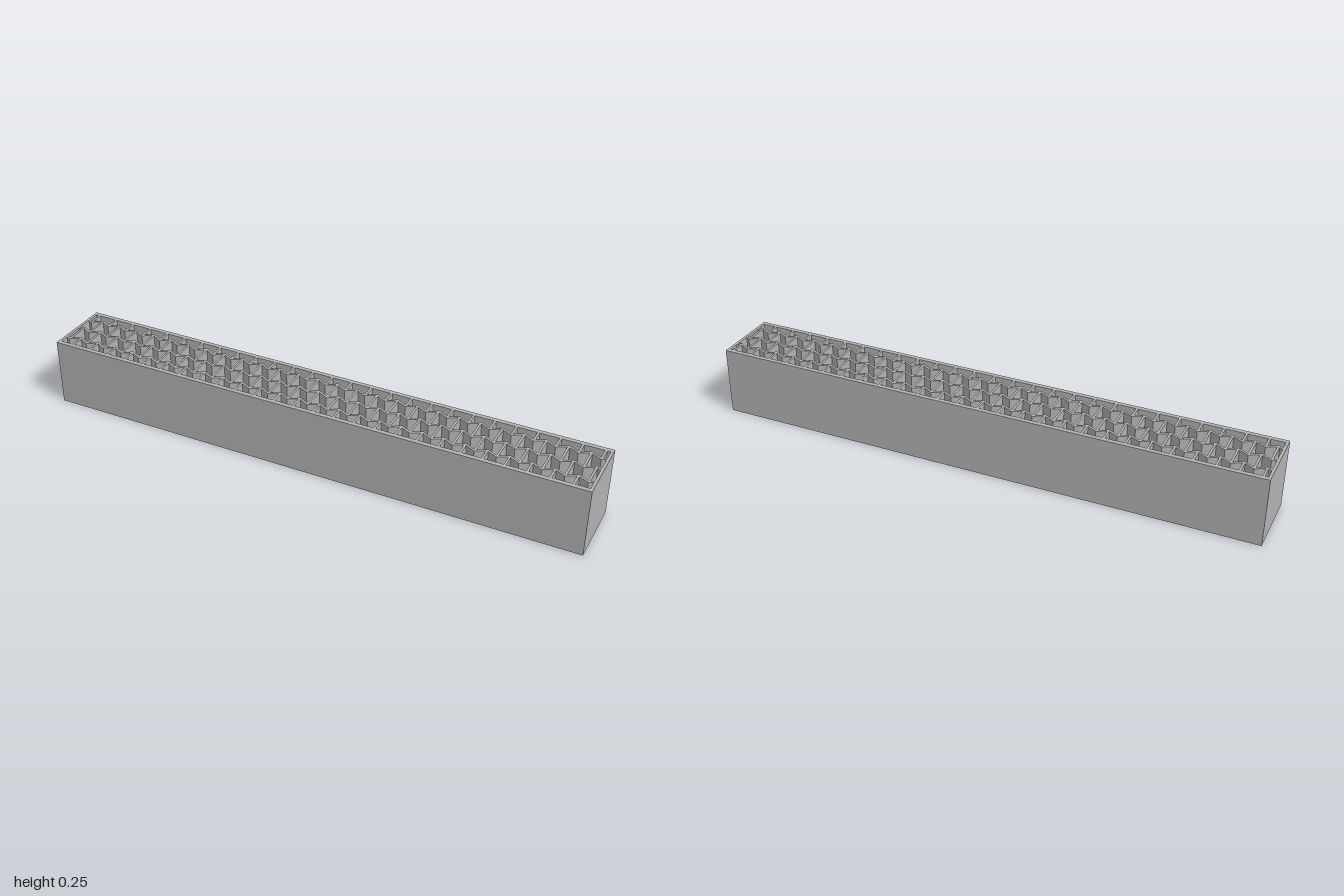
import * as THREE from 'three';

const L = 2, D = 0.25, H = 0.25;      // outer length, depth, height
const WX = 0.01, WZ = 0.016;          // end and side wall thickness
const STEP = 0.0375;                  // half period of the lattice
const AMP = 0.01;                     // zigzag amplitude
const RIB = 0.008;                    // rib thickness
const ROWS = [-0.069, 0, 0.069];      // z of the zigzag sheets

// Extrude a plan shape (x, -z) up to full height
function upright(shape) {
  const g = new THREE.ExtrudeGeometry(shape, { depth: H, bevelEnabled: false });
  return g.rotateX(-Math.PI / 2);
}

function rect(Type, hx, hz) {
  const p = [[-hx, -hz], [hx, -hz], [hx, hz], [-hx, hz]];
  return new Type(p.map(([x, y]) => new THREE.Vector2(x, y)));
}

export function createModel() {
  const model = new THREE.Group();
  model.name = 'latticeBeam';
  const grey = new THREE.MeshStandardMaterial({ color: 0xb2b2b2 });
  grey.name = 'grey';
  const add = (parent, geometry, name) => {
    const mesh = new THREE.Mesh(geometry, grey);
    mesh.name = name;
    parent.add(mesh);
    return mesh;
  };

  // Rectangular casing, open at top and bottom
  const casing = rect(THREE.Shape, L / 2, D / 2);
  casing.holes.push(rect(THREE.Path, L / 2 - WX, D / 2 - WZ));
  add(model, upright(casing), 'casing');

  const lattice = new THREE.Group();
  lattice.name = 'lattice';
  model.add(lattice);

  // Zigzag sheets; each one is shifted half a period from its neighbour
  const end = L / 2 - WX;
  const sign = (k, row) => ((Math.abs(k) + row) % 2 === 0 ? 1 : -1);
  ROWS.forEach((z, row) => {
    const line = [];
    for (let k = -26; k <= 26; k++) line.push([k * STEP, z + AMP * sign(k, row)]);
    const f = (end - 26 * STEP) / STEP;
    const zEnd = z + AMP * sign(26, row) * (1 - 2 * f);
    line.unshift([-end, zEnd]);
    line.push([end, zEnd]);
    const half = RIB * 0.57;
    const outline = [
      ...line.map(([x, v]) => new THREE.Vector2(x, -v - half)),
      ...line.slice().reverse().map(([x, v]) => new THREE.Vector2(x, -v + half)),
    ];
    add(lattice, upright(new THREE.Shape(outline)), 'zigzagSheet');
  });

  // Straight ribs joining the sheets to each other and to the casing
  const inner = D / 2 - WZ;
  for (let row = 0; row <= ROWS.length; row++) {
    for (let k = -26; k <= 26; k++) {
      if ((Math.abs(k) + row) % 2) continue;
      const z0 = row === 0 ? -inner : ROWS[row - 1] - AMP;
      const z1 = row === ROWS.length ? inner : ROWS[row] + AMP;
      const rib = add(lattice, new THREE.BoxGeometry(RIB, H, z1 - z0), 'rib');
      rib.position.set(k * STEP, H / 2, (z0 + z1) / 2);
    }
  }
  return model;
}
